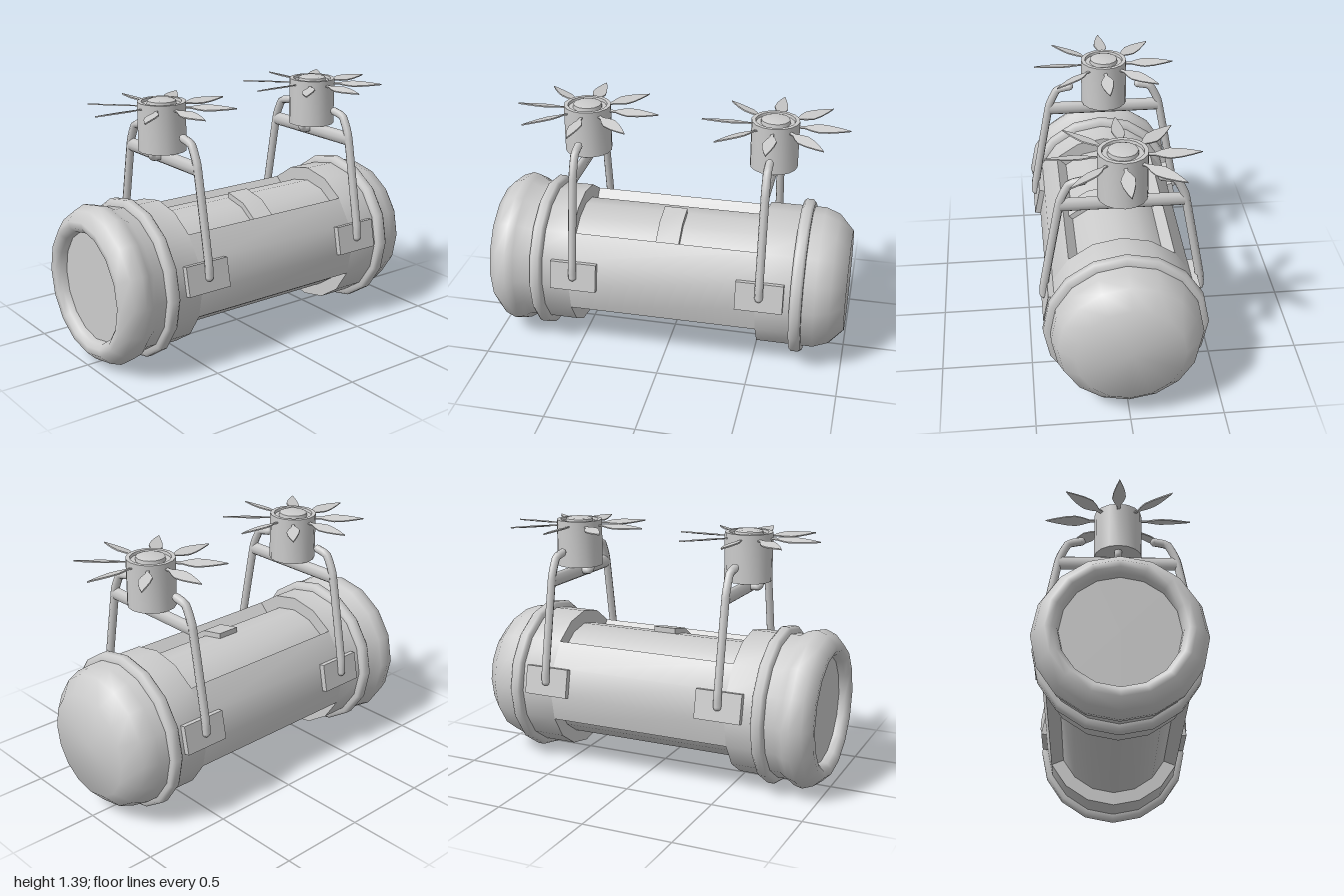
import * as THREE from 'three';
import { toCreasedNormals } from 'three/addons/utils/BufferGeometryUtils.js';

const AXIS_Y = 0.445, R = 0.4, R_IN = 0.325, SIDES = 16, CUT = 0.525;
const gray = new THREE.MeshStandardMaterial({ color: 0xcccccc });
const grayThin = new THREE.MeshStandardMaterial({ color: 0xcccccc, side: THREE.DoubleSide });

function add(parent, name, geometry, material = gray) {
  const mesh = new THREE.Mesh(geometry, material);
  mesh.name = name;
  parent.add(mesh);
  return mesh;
}

// Turned shape from [radius, height] pairs
function turned(points, crease = 0.95) {
  const g = new THREE.LatheGeometry(points.map(p => new THREE.Vector2(p[0], p[1])), SIDES);
  return toCreasedNormals(g, crease);
}

// Turned shape lying along x
const turnedX = (points, crease) => turned(points, crease).rotateZ(-Math.PI / 2);

// Curved slab around the body axis; angles in degrees from the top towards +z
function slab(r0, r1, a0, a1, x0, x1) {
  const n = Math.max(1, Math.round(Math.abs(a1 - a0) / 22.5));
  const at = (r, i) => {
    const a = THREE.MathUtils.degToRad(a0 + (a1 - a0) * i / n);
    return new THREE.Vector2(-r * Math.sin(a), r * Math.cos(a));
  };
  const pts = [];
  for (let i = 0; i <= n; i++) pts.push(at(r1, i));
  for (let i = n; i >= 0; i--) pts.push(at(r0, i));
  const g = new THREE.ExtrudeGeometry(new THREE.Shape(pts), { depth: x1 - x0, bevelEnabled: false });
  return toCreasedNormals(g.rotateY(Math.PI / 2).translate(x0, 0, 0), 0.6);
}

// Pipe through points, with rounded ends
function pipe(parent, name, points, radius) {
  const v = points.map(p => new THREE.Vector3(...p));
  const curve = new THREE.CatmullRomCurve3(v, false, 'catmullrom', 0.15);
  add(parent, name, new THREE.TubeGeometry(curve, 30, radius, 8), grayThin);
  for (const end of [v[0], v[v.length - 1]]) {
    add(parent, name + 'End', new THREE.SphereGeometry(radius, 8, 6)).position.copy(end);
  }
}

function makeBody() {
  const body = new THREE.Group();
  body.name = 'body';
  body.position.y = AXIS_Y;

  // Flared hollow end
  add(body, 'hollowEnd', turnedX([
    [0, -0.94], [0.3, -0.94], [0.305, -0.975], [0.33, -0.998], [0.365, -1], [0.415, -0.95],
    [0.438, -0.89], [0.428, -0.845], [R, -0.8], [R, -CUT], [0.28, -CUT],
  ]));
  // Domed end
  add(body, 'domedEnd', turnedX([
    [0.28, CUT], [R, CUT], [R, 0.84], [0.37, 0.92], [0.285, 1], [0, 1],
  ]));
  // Recessed core and the raised side walls around it
  add(body, 'core', turnedX([[R_IN, -CUT], [R_IN, CUT]]));
  for (const s of [1, -1]) {
    add(body, 'sideWall', slab(R_IN - 0.02, R, s * 45, s * 112.5, -CUT, CUT));
  }
  // Strap over the upper recess
  add(body, 'strap', slab(R_IN - 0.02, 0.356, 0, 46, -0.06, 0.07));

  // Raised bands near both ends
  for (const x of [-0.712, 0.743]) {
    add(body, 'band', turnedX([
      [0.39, x - 0.033], [0.425, x - 0.033], [0.438, x - 0.018],
      [0.438, x + 0.018], [0.425, x + 0.033], [0.39, x + 0.033],
    ]));
  }
  return body;
}

// Thin leaf-shaped blade pointing along +x, with a ridge
function bladeGeometry() {
  const outline = [[0.115, 0.008], [0.16, 0.01], [0.195, 0.026], [0.235, 0.037], [0.29, 0.031], [0.35, 0.016]];
  const s = new THREE.Shape();
  s.moveTo(...outline[0]);
  outline.slice(1).forEach(p => s.lineTo(...p));
  s.lineTo(0.4, 0);
  [...outline].reverse().forEach(p => s.lineTo(p[0], -p[1]));
  const g = new THREE.ExtrudeGeometry(s, { depth: 0.007, bevelEnabled: false });
  return g.translate(0, 0, -0.0035).rotateX(-Math.PI / 2 + 0.22);
}

function makeRotor() {
  const rotor = new THREE.Group();
  rotor.name = 'rotor';
  // Motor can with a grooved lid and raised button
  add(rotor, 'motor', turned([
    [0, 1.122], [0.13, 1.122], [0.13, 1.385], [0.108, 1.385], [0.105, 1.37],
    [0.08, 1.37], [0.077, 1.39], [0.06, 1.396], [0, 1.396],
  ], 0.6));
  const blade = bladeGeometry();
  for (let i = 0; i < 8; i++) {
    const m = add(rotor, 'blade', blade);
    m.position.y = 1.355;
    m.rotation.y = i * Math.PI / 4;
  }
  return rotor;
}

function makeMount() {
  const mount = new THREE.Group();
  mount.name = 'rotorMount';
  // Leg and foot plate, repeated front and back
  for (const turn of [0, Math.PI]) {
    const side = new THREE.Group();
    side.name = 'leg';
    side.rotation.y = turn;
    const plate = add(side, 'footPlate', new THREE.BoxGeometry(0.26, 0.16, 0.05));
    plate.position.set(0, 0.52, 0.392);
    plate.rotation.x = -Math.PI / 16;
    pipe(side, 'legPipe', [
      [0, 0.525, 0.42], [0, 0.6, 0.415], [0, 1.1, 0.322], [0, 1.205, 0.272], [0, 1.222, 0.2],
    ], 0.023);
    mount.add(side);
  }
  // Flattened cross bar and the small elbow pipe under the motor
  const bar = add(mount, 'crossBar', new THREE.CylinderGeometry(0.04, 0.04, 0.64, 8));
  bar.rotation.x = Math.PI / 2;
  bar.scale.x = 0.58;
  bar.position.y = 1.085;
  pipe(mount, 'elbow', [[-0.07, 1.13, 0], [-0.07, 1.1, 0], [-0.055, 1.087, 0], [0, 1.087, 0]], 0.02);
  mount.add(makeRotor());
  return mount;
}

export function createModel() {
  const model = new THREE.Group();
  model.name = 'twinRotorCapsule';
  model.add(makeBody());
  for (const x of [-0.493, 0.545]) {
    const mount = makeMount();
    mount.position.x = x;
    model.add(mount);
  }
  return model;
}
